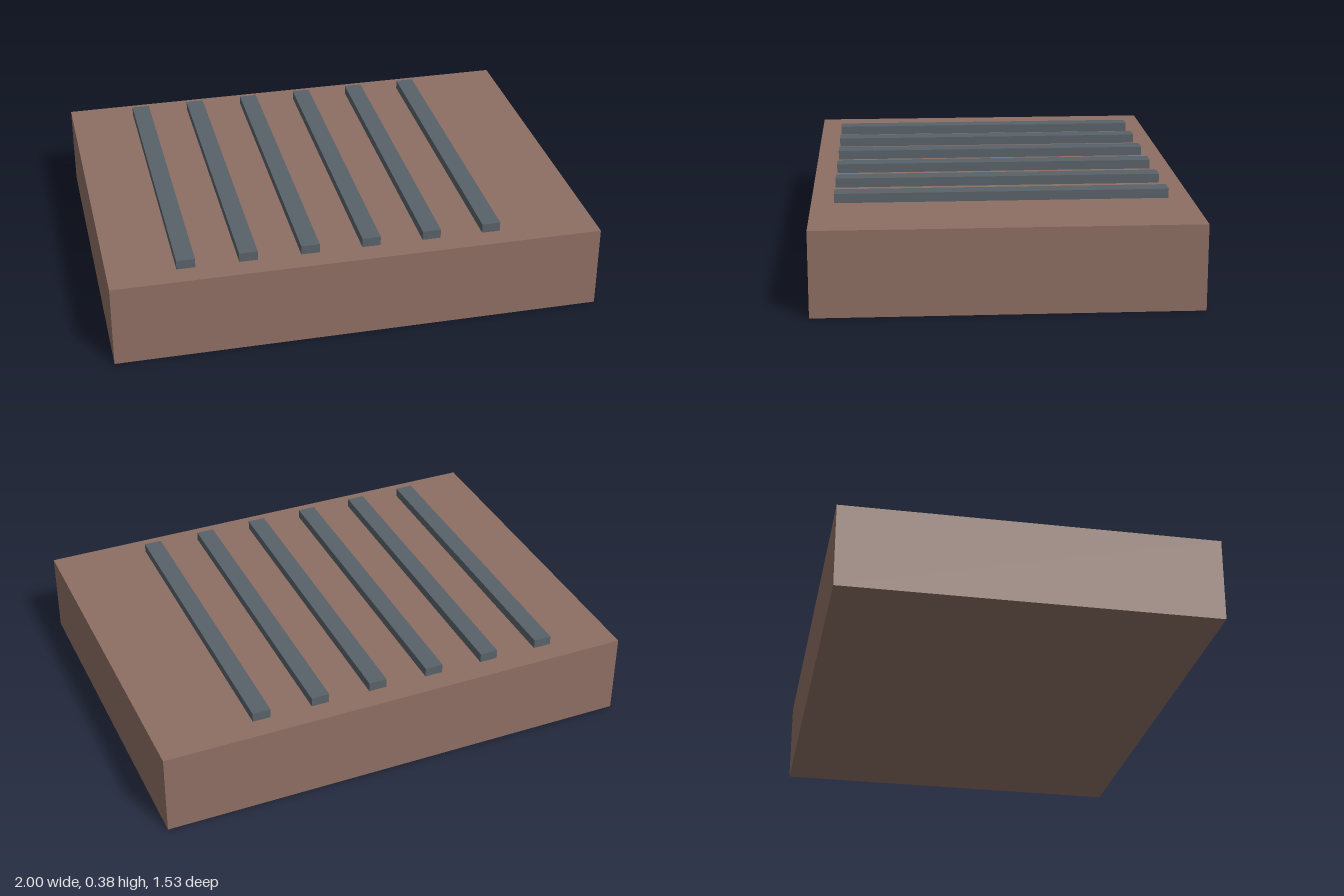
import * as THREE from 'three';

export function createModel() {
  const model = new THREE.Group();
  const brown = new THREE.MeshStandardMaterial({ color: 0x8d6e63 });
  const slate = new THREE.MeshStandardMaterial({ color: 0x586269 });

  // Adds a box whose underside sits at the given height
  const addBox = (name, [w, h, d], material, x, bottom) => {
    const mesh = new THREE.Mesh(new THREE.BoxGeometry(w, h, d), material);
    mesh.name = name;
    mesh.position.set(x, bottom + h / 2, 0);
    model.add(mesh);
  };

  // Solid base slab
  const baseHeight = 0.346;
  addBox('base', [2, baseHeight, 1.528], brown, 0, 0);

  // Six parallel slats, set slightly towards the right
  for (let i = 0; i < 6; i++) {
    addBox(`slat${i + 1}`, [0.075, 0.038, 1.345], slate, -0.688 + i * 0.25, baseHeight);
  }

  return model;
}
